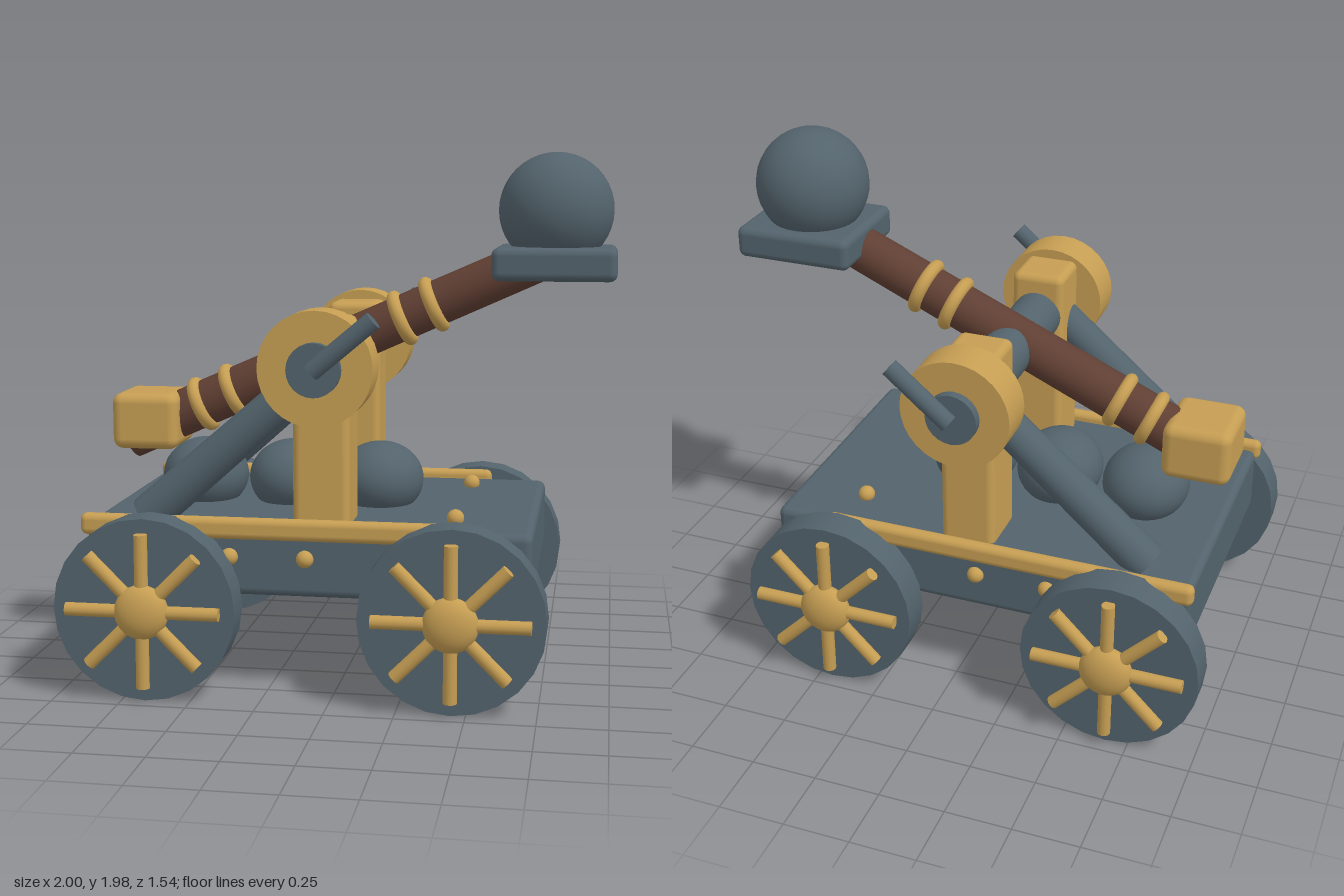
import * as THREE from 'three';
import { RoundedBoxGeometry } from 'three/addons/geometries/RoundedBoxGeometry.js';

const material = (name, color) => {
  const m = new THREE.MeshStandardMaterial({ color });
  m.name = name;
  return m;
};

export function createModel() {
  const slate = material('slate', 0x53636c);
  const gold = material('gold', 0xc69e53);
  const brown = material('brown', 0x603f33);
  const model = new THREE.Group();
  model.name = 'catapult';

  const add = (name, geometry, mat, x = 0, y = 0, z = 0, parent = model) => {
    const mesh = new THREE.Mesh(geometry, mat);
    mesh.name = name;
    mesh.position.set(x, y, z);
    parent.add(mesh);
    return mesh;
  };
  // Rounded box given by its minimum and maximum corners
  const box = (name, mat, min, max, r) => {
    const [w, h, d] = max.map((v, i) => v - min[i]);
    return add(name, new RoundedBoxGeometry(w, h, d, 3, r), mat,
      min[0] + w / 2, min[1] + h / 2, min[2] + d / 2);
  };
  // Cylinder from point a to point b
  const rod = (name, mat, a, b, ra, rb = ra, sides = 24, parent = model) => {
    const p = new THREE.Vector3(...a), q = new THREE.Vector3(...b);
    const mesh = add(name, new THREE.CylinderGeometry(rb, ra, p.distanceTo(q), sides), mat, 0, 0, 0, parent);
    mesh.position.copy(p).lerp(q, 0.5);
    mesh.quaternion.setFromUnitVectors(new THREE.Vector3(0, 1, 0), q.sub(p).normalize());
    return mesh;
  };
  const ball = (name, mat, r, x, y, z, parent = model) =>
    add(name, new THREE.SphereGeometry(r, 32, 20), mat, x, y, z, parent);

  // Platform
  box('platform', slate, [-0.92, 0.37, -0.543], [0.72, 0.63, 0.543], 0.03);

  // Stones lying on the platform
  for (const x of [-0.6, -0.25, 0.1]) {
    ball('spareStone', slate, 1, x, 0.72, 0).scale.set(0.168, 0.146, 0.186);
  }

  const pivot = [-0.05, 1.215];
  for (const s of [1, -1]) {
    // Wheels with hub and crossing spokes on the outer face
    for (const x of [-0.665, 0.447]) {
      const wheel = new THREE.Group();
      wheel.name = 'wheel';
      wheel.position.set(x, 0.34, 0);
      model.add(wheel);
      rod('wheelDisc', slate, [0, 0, s * 0.563], [0, 0, s * 0.69], 0.336, 0.336, 24, wheel);
      ball('hub', gold, 1, 0, 0, s * 0.715, wheel).scale.set(0.1, 0.1, 0.057);
      for (let i = 0; i < 4; i++) {
        const c = 0.283 * Math.cos(i * Math.PI / 4), d = 0.283 * Math.sin(i * Math.PI / 4);
        rod('spoke', gold, [-c, -d, s * 0.71], [c, d, s * 0.71], 0.025, 0.025, 12, wheel);
      }
    }

    // Side rail
    const rail = add('sideRail', new RoundedBoxGeometry(1.43, 0.08, 0.055, 3, 0.025), gold, -0.22, 0.624, s * 0.553);
    rail.scale.z = 1;

    // Rivets on the side, top and underside
    for (const x of [-0.38, -0.1]) ball('rivet', gold, 0.032, x, 0.515, s * 0.543);
    for (const x of [-0.63, 0.428]) {
      for (const y of [0.645, 0.355]) ball('rivet', gold, 0.032, x, y, s * 0.35);
    }

    // Post, bearing disc, slanting brace and crank handle
    add('post', new RoundedBoxGeometry(0.21, 0.78, 0.228, 3, 0.03), gold, -0.05, 0.995, s * 0.387);
    rod('bearing', gold, [...pivot, s * 0.457], [...pivot, s * 0.612], 0.208, 0.208, 32);
    rod('brace', slate, [-0.72, 0.63, s * 0.415], [...pivot, s * 0.415], 0.078, 0.068);
    rod('crankHandle', slate, [-0.052, 1.213, s * 0.667], [0.167, 1.397, s * 0.667], 0.034, 0.034, 16);
  }
  rod('axle', slate, [...pivot, -0.647], [...pivot, 0.647], 0.097);

  // Throwing arm with binding rings
  const low = new THREE.Vector3(-0.905, 0.866, 0), high = new THREE.Vector3(0.75, 1.6, 0);
  rod('throwingArm', brown, low.toArray(), high.toArray(), 0.092, 0.085);
  const direction = high.clone().sub(low).normalize();
  for (const x of [-0.608, -0.482, 0.183, 0.305]) {
    const ring = add('armRing', new THREE.TorusGeometry(0.086, 0.026, 12, 32), gold);
    ring.position.lerpVectors(low, high, (x - low.x) / (high.x - low.x));
    ring.quaternion.setFromUnitVectors(new THREE.Vector3(0, 0, 1), direction);
  }

  // Counterweight, tray and loaded ball
  box('counterweight', gold, [-0.945, 0.83, -0.145], [-0.682, 1.05, 0.145], 0.04);
  box('tray', slate, [0.535, 1.505, -0.213], [0.997, 1.628, 0.213], 0.03);
  ball('loadedBall', slate, 0.216, 0.765, 1.763, 0);

  return model;
}
